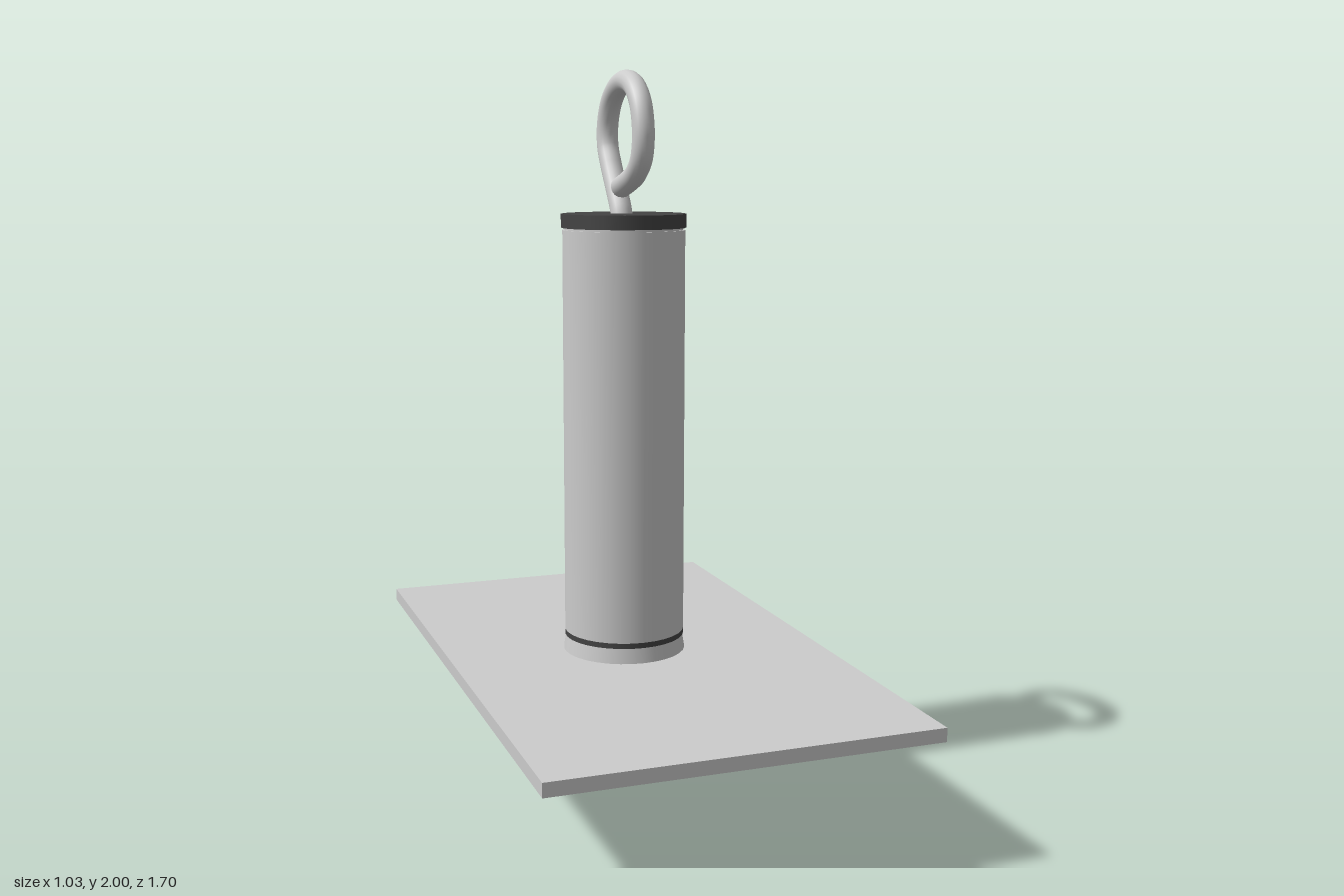
import * as THREE from 'three';

const AXIS_X = -0.015, AXIS_Z = -0.04;

export function createModel() {
  const model = new THREE.Group();
  model.name = 'postWithEyeHook';
  const grey = new THREE.MeshStandardMaterial({ color: 0xcccccc });
  const dark = new THREE.MeshStandardMaterial({ color: 0x444444 });

  const add = (name, geometry, material, x, y, z) => {
    const mesh = new THREE.Mesh(geometry, material);
    mesh.name = name;
    mesh.position.set(x, y, z);
    model.add(mesh);
    return mesh;
  };

  // Upright round part between two heights
  const round = (name, rTop, rBottom, y0, y1, material, sides = 32, z = AXIS_Z) =>
    add(name, new THREE.CylinderGeometry(rTop, rBottom, y1 - y0, sides), material,
      AXIS_X, (y0 + y1) / 2, z);

  // Mounting plate and the rod under it
  add('plate', new THREE.BoxGeometry(1.035, 0.037, 1.7), grey, 0, 0.369, 0);
  round('lowerRod', 0.056, 0.056, 0, 0.355, grey, 20, -0.031);

  // Stacked housing
  round('baseCollar', 0.166, 0.173, 0.385, 0.43, grey);
  round('seal', 0.169, 0.169, 0.43, 0.445, dark);
  round('body', 0.169, 0.169, 0.445, 1.572, grey);
  round('neck', 0.163, 0.163, 1.572, 1.58, grey);
  round('cap', 0.172, 0.172, 1.578, 1.616, dark, 20);

  // Bent eye hook: stem, loop and free end, as [z, y]
  const bend = [
    [-0.05, 1.59], [-0.062, 1.625], [-0.095, 1.675], [-0.145, 1.745],
    [-0.175, 1.8], [-0.176, 1.855], [-0.148, 1.912], [-0.095, 1.952],
    [-0.02, 1.969], [0.05, 1.952], [0.098, 1.905], [0.119, 1.83],
    [0.105, 1.765], [0.06, 1.725], [0, 1.703], [-0.06, 1.687],
  ].map(([z, y]) => new THREE.Vector3(0, y, z));
  const path = new THREE.CatmullRomCurve3(bend);
  const radius = 0.03;
  add('eyeHook', new THREE.TubeGeometry(path, 96, radius, 16), grey, AXIS_X, 0, 0);

  // Flat face closing the free end
  const end = add('eyeHookEnd', new THREE.CircleGeometry(radius, 16), grey,
    AXIS_X, bend.at(-1).y, bend.at(-1).z);
  end.quaternion.setFromUnitVectors(new THREE.Vector3(0, 0, 1), path.getTangent(1));

  return model;
}
